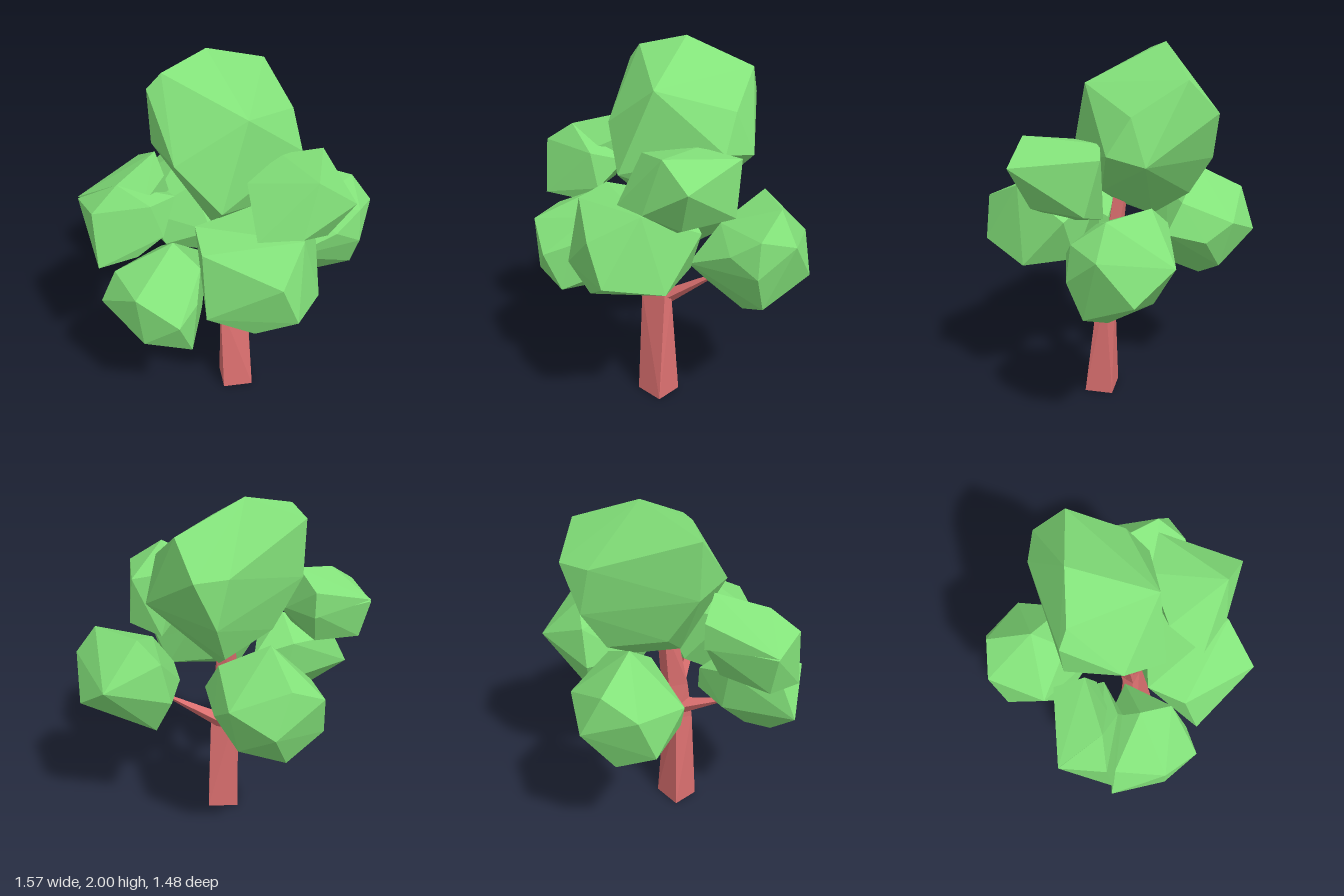
import * as THREE from 'three';
import { ConvexGeometry } from 'three/addons/geometries/ConvexGeometry.js';

const leaf = new THREE.MeshStandardMaterial({ color: 0x83e27a, flatShading: true });
const bark = new THREE.MeshStandardMaterial({ color: 0xdc7070, flatShading: true });

// Faceted solid wrapped around a few corner points
function facet(name, points, material) {
  const geometry = new ConvexGeometry(points.map((p) => new THREE.Vector3(...p)));
  const mesh = new THREE.Mesh(geometry, material);
  mesh.name = name;
  return mesh;
}

// Four-sided tapered limb between two points
function limb(name, from, to, r0, r1) {
  const a = new THREE.Vector3(...from), b = new THREE.Vector3(...to);
  const dir = b.clone().sub(a);
  const mesh = new THREE.Mesh(new THREE.CylinderGeometry(r1, r0, dir.length(), 4), bark);
  mesh.position.copy(a).add(b).multiplyScalar(0.5);
  mesh.quaternion.setFromUnitVectors(new THREE.Vector3(0, 1, 0), dir.normalize());
  mesh.name = name;
  return mesh;
}

export function createModel() {
  const tree = new THREE.Group();
  tree.name = 'tree';

  // Trunk: four-cornered cross-sections, bottom to top
  const sections = [
    [0, [-0.15, 0.16], [0.01, 0.22], [0.065, 0.07], [-0.1, 0.01]],
    [0.62, [-0.14, 0.11], [0.01, 0.14], [0.035, 0.1], [-0.08, 0.03]],
    [0.85, [-0.125, 0.08], [0.015, 0.1], [0.03, 0.05], [-0.05, 0.0]],
    [1.25, [-0.07, 0.02], [0.0, 0.04], [0.02, -0.02], [-0.04, -0.04]],
  ].map(([y, ...ring]) => ring.map(([x, z]) => [x, y, z]));
  const trunk = new THREE.Group();
  trunk.name = 'trunk';
  for (let i = 0; i < sections.length - 1; i++) {
    trunk.add(facet('trunkSection', [...sections[i], ...sections[i + 1]], bark));
  }
  tree.add(trunk);

  // Branches
  tree.add(
    limb('leftBranch', [-0.03, 0.59, 0.08], [0.28, 0.81, 0.1], 0.045, 0.01),
    limb('rightBranch', [-0.05, 0.68, 0.07], [-0.3, 0.78, 0.11], 0.055, 0.015),
    limb('backBranch', [-0.02, 0.66, 0.05], [0.06, 0.85, -0.22], 0.045, 0.015),
    limb('frontBranch', [-0.06, 0.74, 0.05], [-0.07, 1.02, 0.2], 0.04, 0.025),
  );

  // Foliage clumps
  const clumps = {
    crown: [
      [-0.02, 2, -0.23], [-0.28, 1.94, -0.2], [-0.35, 1.86, -0.23], [0.34, 1.86, -0.27],
      [-0.02, 1.8, 0.19], [0.35, 1.69, 0.01], [0.31, 1.69, -0.435], [0.14, 1.69, -0.44],
      [0.43, 1.46, -0.05], [0.2, 1.44, -0.44], [-0.35, 1.57, 0.05], [-0.2, 1.36, 0.25],
      [-0.345, 1.56, -0.23], [0.34, 1.5, 0.13], [0.12, 1.23, -0.34], [-0.12, 1.12, 0.0],
      [0.08, 1.11, -0.15], [-0.18, 1.3, -0.24], [0.08, 1.25, 0.12],
    ],
    lowerFrontClump: [
      [-0.4, 0.92, 0.45], [-0.37, 1.25, 0.36], [-0.13, 1.19, 0.71], [-0.05, 0.97, 0.735],
      [0.08, 1.3, 0.56], [0.3, 1.16, 0.34], [0.2, 0.9, 0.55], [-0.2, 0.84, 0.58],
      [-0.31, 1.28, 0.17], [0.1, 1.26, 0.13], [0.22, 0.93, 0.28], [-0.22, 0.84, 0.3],
      [-0.08, 0.98, 0.12],
    ],
    upperFrontClump: [
      [0.17, 1.58, 0.52], [0.44, 1.51, 0.17], [0.335, 1.46, 0.605], [-0.06, 1.5, 0.25],
      [-0.11, 1.28, 0.44], [0.26, 1.23, 0.5], [0.445, 1.23, 0.25], [0.1, 1.1, 0.3],
      [0.2, 1.53, 0.14], [0.08, 1.3, 0.55], [0.3, 1.17, 0.14],
    ],
    leftClump: [
      [0.49, 1.28, -0.07], [0.65, 1.28, 0.17], [0.75, 1.12, 0.23], [0.785, 0.9, 0.06],
      [0.7, 1.05, -0.15], [0.61, 0.77, 0.28], [0.46, 0.67, 0.14], [0.27, 0.79, 0.14],
      [0.2, 0.94, 0.26], [0.45, 1.06, 0.34], [0.6, 0.97, 0.355], [0.4, 1.17, -0.17],
      [0.36, 0.95, -0.2], [0.42, 0.74, -0.1], [0.23, 0.93, 0.06], [0.34, 1.16, 0.18],
      [0.6, 1.16, 0.33],
    ],
    lowerRightClump: [
      [-0.785, 0.88, 0.02], [-0.7, 1.05, 0.29], [-0.42, 1.2, 0.14], [-0.35, 1.12, 0.3],
      [-0.55, 0.93, 0.455], [-0.42, 0.98, 0.39], [-0.3, 0.76, 0.2], [-0.44, 0.64, 0.18],
      [-0.59, 0.64, 0.2], [-0.47, 0.72, 0.42], [-0.7, 1.05, 0.03], [-0.38, 0.83, 0.0],
      [-0.42, 1.07, -0.02], [-0.68, 0.76, 0.3], [-0.2, 0.87, 0.06], [-0.21, 1.0, 0.05],
    ],
    backClump: [
      [-0.08, 1.32, -0.44], [-0.08, 1.19, -0.69], [0.02, 0.97, -0.74], [-0.27, 1.1, -0.67],
      [-0.1, 0.74, -0.62], [-0.08, 0.68, -0.46], [-0.1, 0.77, -0.25], [-0.06, 0.95, -0.14],
      [-0.1, 1.2, -0.27], [0.19, 1.07, -0.57], [0.21, 0.97, -0.42], [-0.35, 1.04, -0.37],
      [-0.32, 0.86, -0.59], [-0.28, 0.85, -0.28], [0.12, 0.8, -0.52], [0.14, 1.18, -0.3],
      [0.18, 1.02, -0.21],
    ],
    // Upper right clump: a body and a raised back wedge with a notch between them
    upperRightClump: [
      [-0.78, 1.1, 0.03], [-0.77, 1.41, 0.0], [-0.62, 1.51, -0.03], [-0.48, 1.37, 0.03],
      [-0.31, 1.33, -0.05], [-0.43, 1.18, 0.05], [-0.57, 1.09, 0.03], [-0.76, 1.36, -0.23],
      [-0.4, 1.36, -0.28], [-0.72, 1.15, -0.2], [-0.45, 1.17, -0.2],
    ],
    upperRightWedge: [
      [-0.62, 1.51, -0.03], [-0.37, 1.57, -0.13], [-0.35, 1.45, -0.08], [-0.5, 1.38, 0.0],
      [-0.76, 1.37, -0.23], [-0.4, 1.48, -0.28], [-0.4, 1.34, -0.28], [-0.65, 1.35, -0.1],
      [-0.32, 1.34, -0.1],
    ],
  };
  for (const [name, points] of Object.entries(clumps)) tree.add(facet(name, points, leaf));

  return tree;
}
